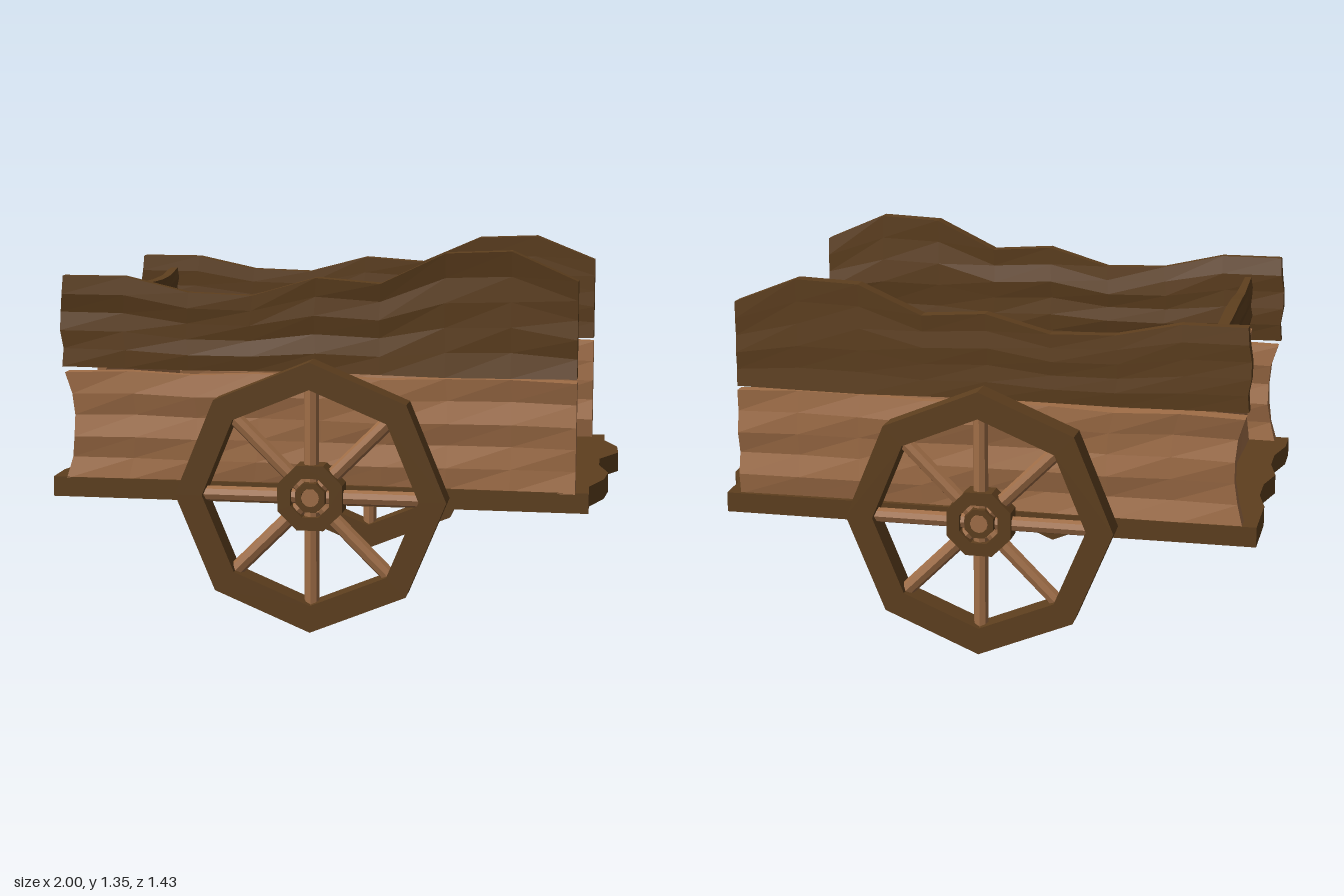
import * as THREE from 'three';

const dark = new THREE.MeshStandardMaterial({ color: 0x5e3f1e, flatShading: true });
const light = new THREE.MeshStandardMaterial({ color: 0xa06e47, flatShading: true });

function add(parent, name, geometry, material) {
  const mesh = new THREE.Mesh(geometry, material);
  mesh.name = name;
  parent.add(mesh);
  return mesh;
}

// Linear lookup in a list of evenly spaced values, t in 0..1
function sample(list, t) {
  const f = t * (list.length - 1);
  const i = Math.min(Math.floor(f), list.length - 2);
  return list[i] + (list[i + 1] - list[i]) * (f - i);
}

// Rough-hewn board: outline from bottom/top/end profiles, faces gently uneven
function board({ x0, x1, bottom, top, thick, ends = [0, 0], wobble = 0.008, lean = [0, 0], seed = 0 }) {
  const g = new THREE.BoxGeometry(1, 1, 1, 8, 5, 1);
  const p = g.attributes.position;
  for (let i = 0; i < p.count; i++) {
    const u = p.getX(i) + 0.5, v = p.getY(i) + 0.5, side = Math.sign(p.getZ(i));
    const lo = sample(bottom, u), hi = sample(top, u);
    const x = x0 + (x1 - x0) * u + sample(ends, v) * (1 - u);
    const bump = Math.sin(v * 13 + u * 5 + side * 1.3 + seed) * wobble;
    p.setXYZ(i, x, lo + (hi - lo) * v, side * thick / 2 + bump + sample(lean, v));
  }
  g.computeVertexNormals();
  return g;
}

// Regular eight-sided ring, extruded along z and centred
function octRing(outer, inner, depth, turn) {
  const corners = r => Array.from({ length: 8 }, (_, i) => {
    const a = i * Math.PI / 4 + turn;
    return new THREE.Vector2(Math.cos(a) * r, Math.sin(a) * r);
  });
  const shape = new THREE.Shape(corners(outer));
  shape.holes.push(new THREE.Path(corners(inner).reverse()));
  return new THREE.ExtrudeGeometry(shape, { depth, bevelEnabled: false }).translate(0, 0, -depth / 2);
}

function makeWheel() {
  const wheel = new THREE.Group();
  wheel.name = 'wheel';
  add(wheel, 'rim', octRing(0.482, 0.385, 0.098, 0), dark);
  add(wheel, 'hub', octRing(0.125, 0.075, 0.08, Math.PI / 8), dark);
  add(wheel, 'axleCollar', octRing(0.056, 0.034, 0.07, Math.PI / 8), dark);
  const pin = new THREE.CylinderGeometry(0.032, 0.032, 0.07, 12).rotateX(Math.PI / 2);
  add(wheel, 'axlePin', pin, light);
  for (let i = 0; i < 8; i++) {
    const spoke = new THREE.CylinderGeometry(0.027, 0.027, 0.36, 8).translate(0, 0.235, 0);
    add(wheel, 'spoke', spoke.rotateZ(i * Math.PI / 4), light);
  }
  return wheel;
}

export function createModel() {
  const cart = new THREE.Group();
  cart.name = 'cart';

  // Floor with ragged ends
  const outline = [
    [-1, -0.605], [0.93, -0.605], [0.935, -0.48], [0.99, -0.35], [1, -0.22], [0.935, -0.08], [0.94, 0.05],
    [0.98, 0.19], [0.97, 0.32], [0.925, 0.46], [0.93, 0.585], [-1, 0.585], [-1, 0.45], [-0.97, 0.32],
    [-0.97, 0.19], [-1, 0.05], [-0.97, -0.08], [-0.97, -0.22], [-1, -0.35],
  ].map(([x, z]) => new THREE.Vector2(x, z));
  const floor = new THREE.ExtrudeGeometry(new THREE.Shape(outline), { depth: 0.072, bevelEnabled: false });
  add(cart, 'floor', floor.rotateX(Math.PI / 2).translate(0, 0.51, 0), dark);

  // Long sides: a light lower board and a dark wavy upper board each
  const lowerEnds = [0, 0.02, 0.032, 0.032, 0.025, 0];
  const lowerTop = [0.892, 0.9, 0.89, 0.9, 0.897, 0.89, 0.9, 0.903, 0.895];
  const upperTop = [1.24, 1.24, 1.187, 1.18, 1.247, 1.23, 1.34, 1.35, 1.25];
  for (const s of [1, -1]) {
    const lower = board({
      x0: -0.95, x1: 0.882, bottom: [0.505, 0.505], top: lowerTop,
      thick: 0.052, ends: lowerEnds, wobble: 0.01, seed: s,
    });
    add(cart, 'lowerSideBoard', lower, light).position.z = s > 0 ? 0.552 : -0.567;

    const upper = board({
      x0: -0.955, x1: 0.882, bottom: [0.913, 0.908, 0.913, 0.905, 0.91],
      top: s > 0 ? upperTop : upperTop.map(y => 0.91 + (y - 0.91) * 0.91),
      thick: s > 0 ? 0.044 : 0.05, ends: [-0.005, 0, -0.01, -0.01, 0, 0.005],
      wobble: s > 0 ? 0.007 : 0.003, lean: s > 0 ? [0, -0.006, -0.006, 0.005] : [0, 0], seed: 2,
    });
    add(cart, 'upperSideBoard', upper, dark).position.z = s > 0 ? 0.56 : -0.565;
  }

  // Closed end, turned so that board length runs along z
  const end = new THREE.Group();
  end.name = 'endWall';
  end.rotation.y = Math.PI / 2;
  end.position.x = -0.825;
  cart.add(end);
  add(end, 'lowerEndBoard', board({
    x0: -0.535, x1: 0.54, bottom: [0.505, 0.505],
    top: [0.96, 0.935, 0.915, 0.91, 0.945, 0.925, 0.918, 0.922, 0.93], thick: 0.035, wobble: 0.006,
  }), light);
  add(end, 'upperEndBoard', board({
    x0: -0.54, x1: 0.545, bottom: [0.975, 0.972, 0.97, 0.974, 0.96, 0.94, 0.938, 0.945, 0.97],
    top: [1.165, 1.158, 1.152, 1.158, 1.155, 1.147, 1.142, 1.145, 1.165], thick: 0.034, wobble: 0.005, seed: 3,
  }), dark);

  // Axle and the two wheels
  const axle = new THREE.CylinderGeometry(0.057, 0.057, 1.27, 8).rotateX(Math.PI / 2).rotateZ(Math.PI / 8);
  add(cart, 'axle', axle, dark).position.set(-0.035, 0.485, 0);
  for (const s of [1, -1]) {
    const wheel = makeWheel();
    wheel.position.set(-0.035, 0.485, s * 0.665);
    cart.add(wheel);
  }
  return cart;
}
